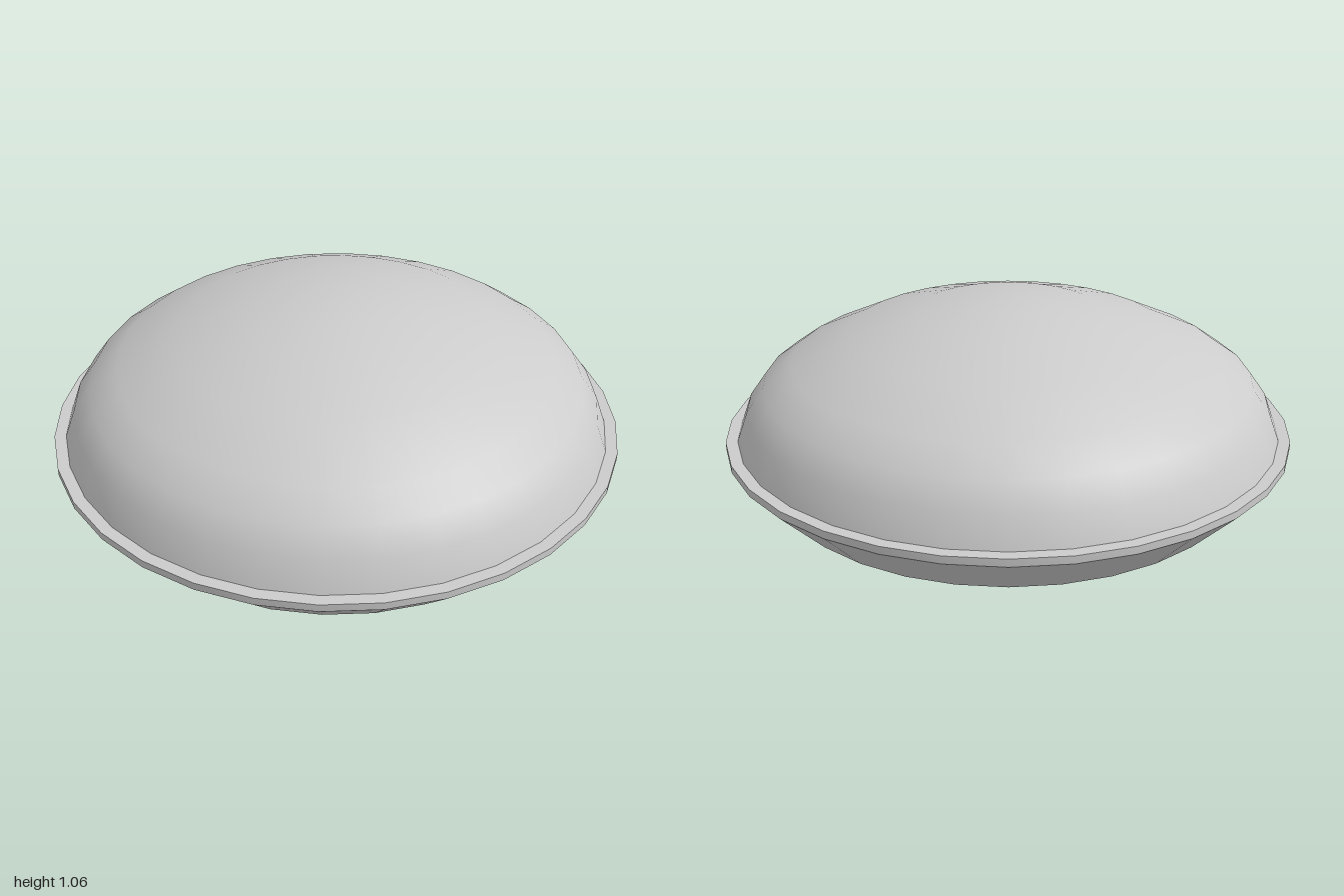
import * as THREE from 'three';
import { toCreasedNormals } from 'three/addons/utils/BufferGeometryUtils.js';

export function createModel() {
  const group = new THREE.Group();
  const grey = new THREE.MeshStandardMaterial({ color: 0xcccccc, side: THREE.DoubleSide });

  // Turns a [radius, height] profile, bottom to top, around the y axis.
  function turned(name, profile, sides, crease, start = 0) {
    const points = profile.map(([r, y]) => new THREE.Vector2(r, y));
    const lathe = new THREE.LatheGeometry(points, sides, start);
    const mesh = new THREE.Mesh(toCreasedNormals(lathe, crease), grey);
    mesh.name = name;
    group.add(mesh);
  }

  // Smooth shallow dome
  turned('dome', [
    [0.96, 0.61], [0.92, 0.715], [0.86, 0.797], [0.76, 0.868],
    [0.56, 0.961], [0.32, 1.03], [0.14, 1.055], [0, 1.062],
  ], 32, 1.0);

  // Flared base pan with a thin upright rim and a flat ledge under the dome
  turned('base', [
    [0, 0.42], [0.84, 0.42], [1, 0.585], [1, 0.612], [0.955, 0.612],
  ], 32, 0.5);

  // Tapered collar below the base
  turned('collar', [
    [0, 0.345], [0.132, 0.345], [0.185, 0.42],
  ], 8, 0.85, Math.PI / 8);

  // Open threaded tube
  turned('stem', [[0.079, 0], [0.079, 0.36]], 16, 0.6);

  // Hexagonal nut with chamfered faces
  turned('nut', [
    [0.075, 0.113], [0.094, 0.113], [0.11, 0.123],
    [0.11, 0.163], [0.094, 0.173], [0.075, 0.173],
  ], 6, 0.3);

  return group;
}
